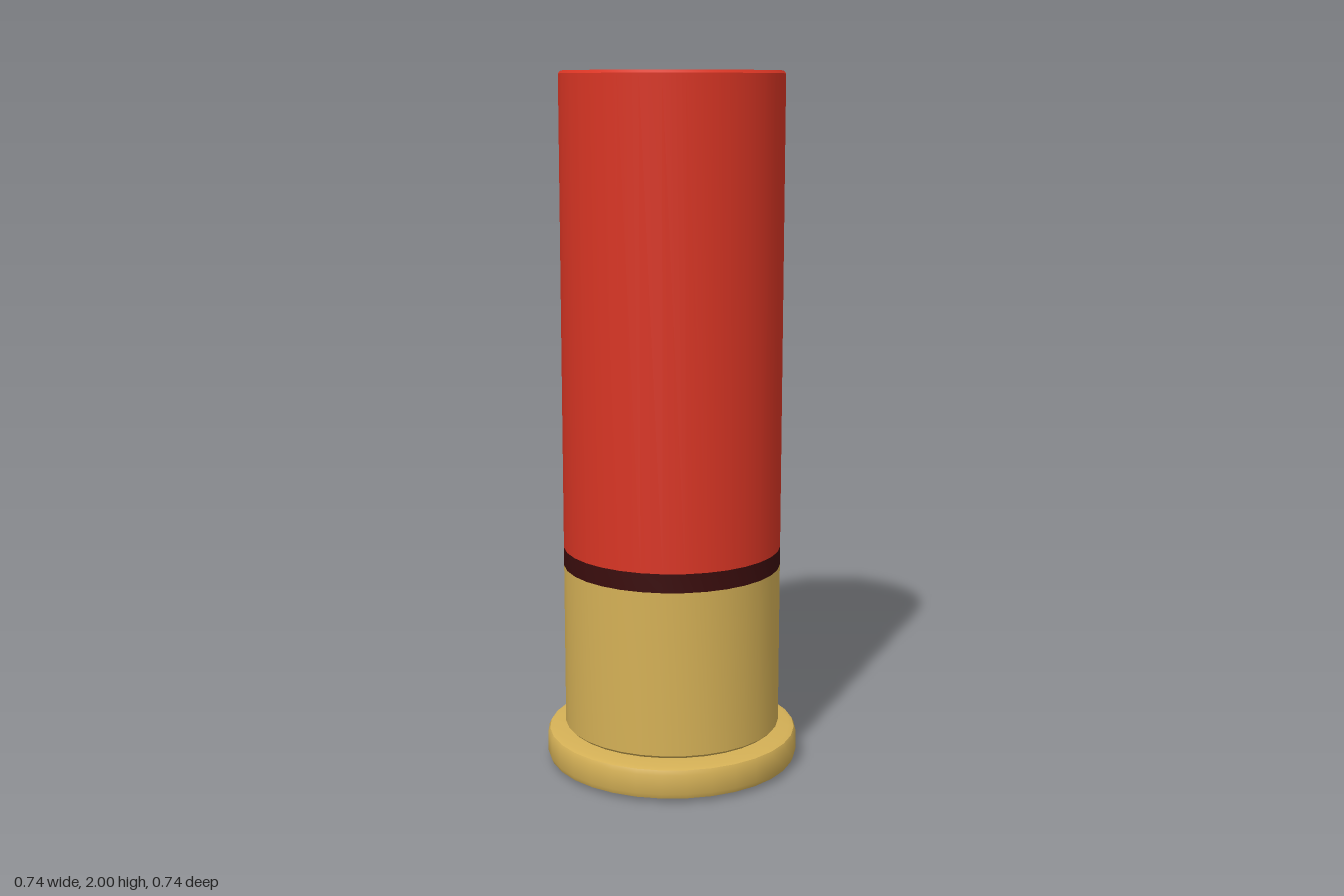
import * as THREE from 'three';
import { toCreasedNormals } from 'three/addons/utils/BufferGeometryUtils.js';

const SIDES = 32;

// Surface of revolution from [radius, height] pairs, listed bottom to top
function turned(name, profile, material) {
  const points = profile.map(([r, y]) => new THREE.Vector2(r, y));
  const geometry = toCreasedNormals(new THREE.LatheGeometry(points, SIDES), 0.6);
  const mesh = new THREE.Mesh(geometry, material);
  mesh.name = name;
  return mesh;
}

export function createModel() {
  const brass = new THREE.MeshStandardMaterial({ color: 0xd4b056 });
  brass.name = 'brass';
  const red = new THREE.MeshStandardMaterial({ color: 0xd83524 });
  red.name = 'red plastic';
  const dark = new THREE.MeshStandardMaterial({ color: 0x3a0d0d });
  dark.name = 'dark maroon';

  const body = 0.315, rim = 0.368;
  const model = new THREE.Group();
  model.name = 'shotgunShell';
  model.add(
    // Slightly raised primer in the base
    turned('primer', [[0, 0], [0.07, 0.001], [0.12, 0.006], [0.13, 0.012]], brass),
    // Wide base rim with softened edges
    turned('baseRim', [[0, 0.008], [rim - 0.02, 0.008], [rim - 0.006, 0.013], [rim, 0.027],
      [rim, 0.083], [rim - 0.006, 0.096], [rim - 0.02, 0.101], [0.25, 0.101]], brass),
    // Narrow groove above the rim
    turned('extractorGroove', [[0.26, 0.095], [0.26, 0.118]], brass),
    // Brass cup
    turned('brassCup', [[0.25, 0.11], [body - 0.008, 0.11], [body, 0.118], [body, 0.593]], brass),
    // Dark band between brass and hull
    turned('band', [[body, 0.593], [body, 0.647]], dark),
    // Closed hull
    turned('hull', [[body, 0.647], [body, 1.992], [body - 0.007, 2], [0, 2]], red),
  );
  return model;
}
